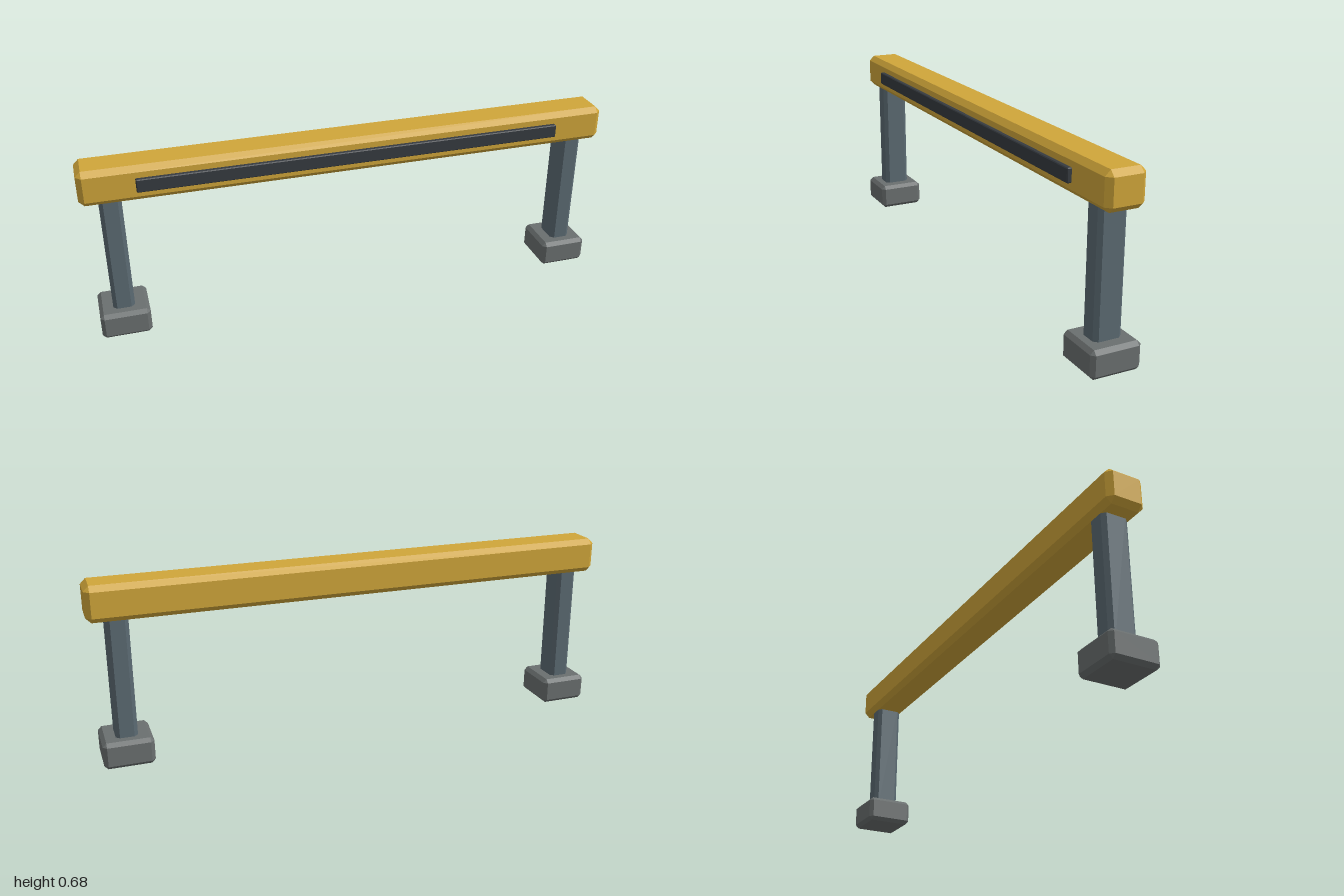
import * as THREE from 'three';
import { ConvexGeometry } from 'three/addons/geometries/ConvexGeometry.js';

// Box with every edge and corner cut flat by the bevel b
function chamferBox(w, h, d, b) {
  const half = [w / 2, h / 2, d / 2];
  const points = [];
  for (const sx of [-1, 1]) for (const sy of [-1, 1]) for (const sz of [-1, 1]) {
    const signs = [sx, sy, sz];
    for (let outer = 0; outer < 3; outer++) {
      points.push(new THREE.Vector3(...half.map((s, i) => signs[i] * (i === outer ? s : s - b))));
    }
  }
  return new ConvexGeometry(points);
}

function paint(color) {
  return new THREE.MeshStandardMaterial({ color, flatShading: true });
}

export function createModel() {
  const model = new THREE.Group();
  model.name = 'barrier';

  const yellow = paint(0xd0a63a);
  const steel = paint(0x5b6a72);
  const concrete = paint(0x6a6f6f);
  const dark = paint(0x363b40);

  function add(name, geometry, material, x, y, z = 0) {
    const mesh = new THREE.Mesh(geometry, material);
    mesh.name = name;
    mesh.position.set(x, y, z);
    model.add(mesh);
  }

  // Crossbeam with the dark strip on its front
  add('beam', chamferBox(2, 0.134, 0.144, 0.02), yellow, 0, 0.614);
  add('frontStrip', chamferBox(1.6, 0.05, 0.03, 0.003), dark, 0, 0.614, 0.073);

  // Posts run into the beam and the feet
  const postGeometry = chamferBox(0.08, 0.52, 0.104, 0.014);
  const footGeometry = chamferBox(0.184, 0.102, 0.186, 0.014);
  for (const [side, x] of [['left', 0.894], ['right', -0.894]]) {
    add(side + 'Post', postGeometry, steel, x, 0.325);
    add(side + 'Foot', footGeometry, concrete, x, 0.051);
  }

  return model;
}
